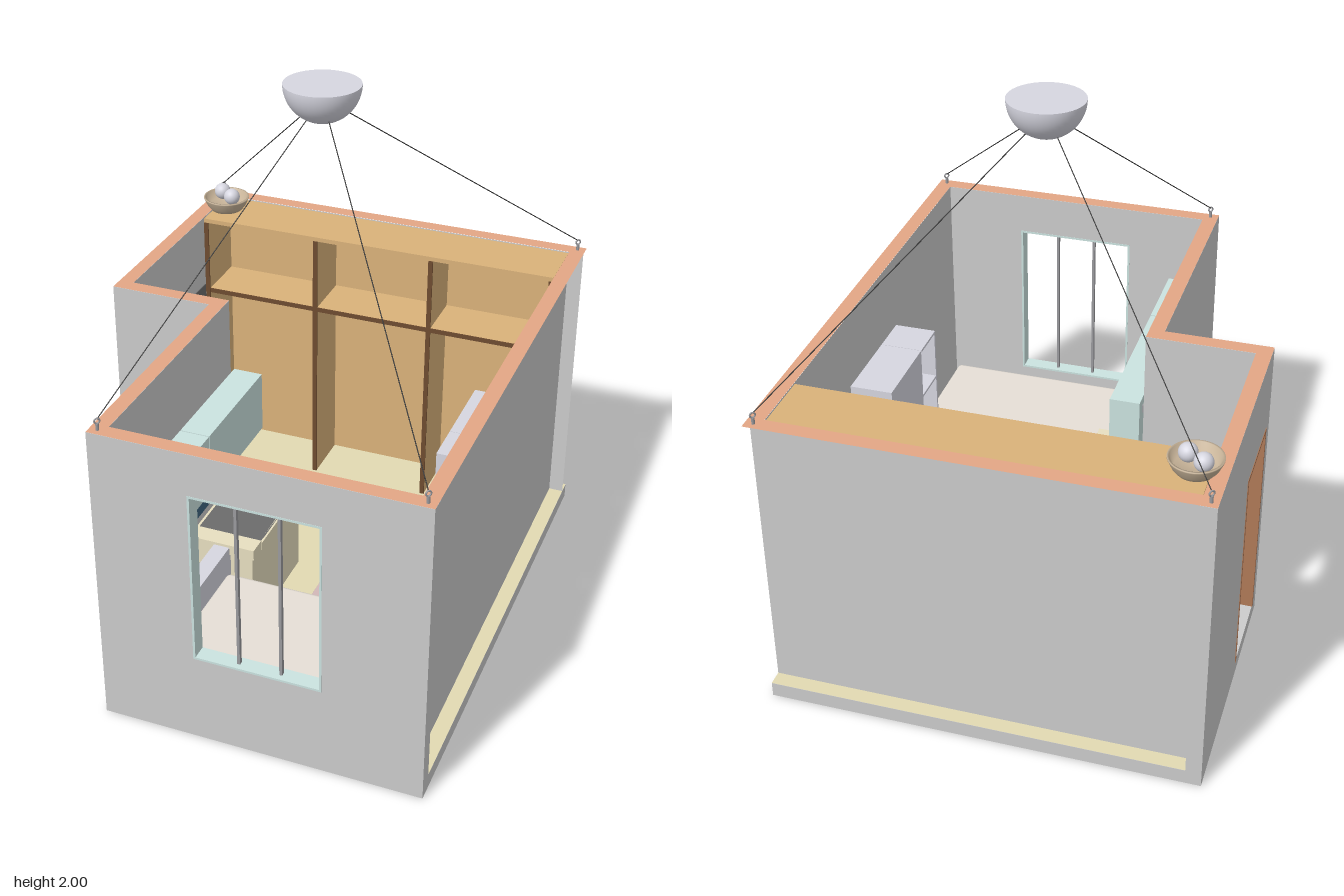
import * as THREE from 'three';
import { RoundedBoxGeometry } from 'three/addons/geometries/RoundedBoxGeometry.js';

const mat = (color, side = THREE.FrontSide) => new THREE.MeshStandardMaterial({ color, side });
const M = {
  wall: mat(0xcccccc), wallThin: mat(0xcccccc, THREE.DoubleSide), cap: mat(0xe3a685, THREE.DoubleSide),
  floor: mat(0xe2dab2), wood: mat(0xdab27a), woodEdge: mat(0x6e4c30), door: mat(0xb07a58),
  mint: mat(0xcbe3e0), lilac: mat(0xd6d6e0), cream: mat(0xe8dfc0), dark: mat(0x6c6c6c),
  blue: mat(0x3f6580), linen: mat(0xe6dfd6), rug: mat(0xd2b8b8), bowl: mat(0xc8b499, THREE.DoubleSide),
  steel: mat(0x9a9a9e), black: mat(0x333333),
};
const H = 1.14, F = 0.055;

export function createModel() {
  const root = new THREE.Group();
  const add = (parent, name, geo, m) => {
    const mesh = new THREE.Mesh(geo, m);
    mesh.name = name;
    parent.add(mesh);
    return mesh;
  };
  const group = (name) => {
    const g = new THREE.Group();
    g.name = name;
    root.add(g);
    return g;
  };
  // box given by its minimum and maximum on each axis
  const box = (parent, name, m, x0, x1, y0, y1, z0, z1) => {
    const b = add(parent, name, new THREE.BoxGeometry(x1 - x0, y1 - y0, z1 - z0), m);
    b.position.set((x0 + x1) / 2, (y0 + y1) / 2, (z0 + z1) / 2);
    return b;
  };
  const softBox = (parent, name, m, x0, x1, y0, y1, z0, z1, r) => {
    const b = add(parent, name, new RoundedBoxGeometry(x1 - x0, y1 - y0, z1 - z0, 3, r), m);
    b.position.set((x0 + x1) / 2, (y0 + y1) / 2, (z0 + z1) / 2);
    return b;
  };
  const rod = (parent, name, m, a, b, r) => {
    const dir = new THREE.Vector3().subVectors(b, a);
    const mesh = add(parent, name, new THREE.CylinderGeometry(r, r, dir.length(), 8), m);
    mesh.position.addVectors(a, b).multiplyScalar(0.5);
    mesh.quaternion.setFromUnitVectors(new THREE.Vector3(0, 1, 0), dir.normalize());
    return mesh;
  };
  const V = (x, y, z) => new THREE.Vector3(x, y, z);
  const rect = (C, x0, x1, y0, y1) =>
    new C([[x0, y0], [x1, y0], [x1, y1], [x0, y1]].map(([x, y]) => new THREE.Vector2(x, y)));

  // L-shaped outlines in plan, drawn as (x, -z)
  const outer = [[-0.77, -0.945], [0.77, -0.945], [0.77, 0.94], [-0.385, 0.94], [-0.385, 0.01], [-0.77, 0.01]];
  const inner = [[-0.715, -0.89], [0.715, -0.89], [0.715, 0.885], [-0.33, 0.885], [-0.33, -0.045], [-0.715, -0.045]];
  const plan = (pts) => pts.map(([x, z]) => new THREE.Vector2(x, -z));

  // floor slab with a pale top
  const base = group('floor');
  const slab = new THREE.ExtrudeGeometry(new THREE.Shape(plan(outer)), { depth: F, bevelEnabled: false });
  slab.rotateX(-Math.PI / 2);
  add(base, 'floorSlab', slab, M.wall);
  const boards = new THREE.ShapeGeometry(new THREE.Shape(plan(outer))).rotateX(-Math.PI / 2);
  add(base, 'floorTop', boards, M.floor).position.y = F + 0.001;

  // thick front and left walls with their openings
  const walls = group('walls');
  const front = rect(THREE.Shape, -0.385, 0.77, F, H);
  front.holes.push(rect(THREE.Path, -0.04, 0.415, 0.335, 0.985));
  add(walls, 'frontWall', new THREE.ExtrudeGeometry(front, { depth: 0.055, bevelEnabled: false }), M.wall)
    .position.z = 0.885;
  const left = rect(THREE.Shape, -0.01, 0.945, F, H);
  left.holes.push(rect(THREE.Path, 0.05, 0.385, F + 0.002, 0.85));
  const leftWall = add(walls, 'leftWall', new THREE.ExtrudeGeometry(left, { depth: 0.055, bevelEnabled: false }), M.wall);
  leftWall.rotation.y = Math.PI / 2;
  leftWall.position.x = -0.77;
  box(walls, 'notchFrontWall', M.wall, -0.715, -0.33, F, H, -0.045, 0.01);
  box(walls, 'notchSideWall', M.wall, -0.385, -0.33, F, H, 0.01, 0.885);

  // thin right and back walls, set in from the slab edge
  const thin = (name, w, x, z, ry) => {
    const p = add(walls, name, new THREE.PlaneGeometry(w, H - F), M.wallThin);
    p.position.set(x, (H + F) / 2, z);
    p.rotation.y = ry;
  };
  thin('backWall', 1.485, 0.0275, -0.89, 0);
  thin('rightWall', 1.775, 0.715, -0.0025, Math.PI / 2);

  // flat capping along the wall tops
  const capShape = new THREE.Shape(plan(outer));
  capShape.holes.push(new THREE.Path(plan(inner)));
  add(walls, 'wallCap', new THREE.ShapeGeometry(capShape).rotateX(-Math.PI / 2), M.cap).position.y = H + 0.001;

  // window lining and upright bars
  const win = group('window');
  for (const [x0, x1, y0, y1] of [[-0.04, -0.032, 0.335, 0.985], [0.407, 0.415, 0.335, 0.985],
    [-0.032, 0.407, 0.335, 0.343], [-0.032, 0.407, 0.977, 0.985]])
    box(win, 'windowLining', M.mint, x0, x1, y0, y1, 0.884, 0.941);
  for (const x of [0.115, 0.265]) box(win, 'windowBar', M.steel, x - 0.005, x + 0.005, 0.343, 0.977, 0.905, 0.92);

  // door lining
  const door = group('doorFrame');
  for (const z of [-0.385, -0.065]) box(door, 'doorJamb', M.door, -0.772, -0.71, F, 0.85, z, z + 0.015);
  box(door, 'doorHead', M.door, -0.772, -0.71, 0.835, 0.85, -0.37, -0.065);

  // fittings beside the door
  box(root, 'wallPanel', M.dark, -0.715, -0.71, 0.35, 0.85, -0.65, -0.41);
  box(root, 'wallPhone', M.steel, -0.71, -0.68, 0.6, 0.72, -0.63, -0.525);
  box(root, 'lightSwitch', M.cream, -0.71, -0.695, 0.6, 0.65, -0.5, -0.455);

  // open wardrobe along the back
  const robe = group('wardrobe');
  const zf = -0.66;
  box(robe, 'wardrobeBack', M.wood, -0.713, 0.713, F, 1.12, -0.887, -0.875);
  box(robe, 'wardrobeTop', M.wood, -0.713, 0.713, 1.12, 1.137, -0.887, zf);
  box(robe, 'wardrobeShelf', M.wood, -0.713, 0.713, 0.812, 0.828, -0.875, zf - 0.004);
  box(robe, 'shelfEdge', M.woodEdge, -0.713, 0.713, 0.811, 0.829, zf - 0.004, zf);
  for (const x of [-0.705, -0.238, 0.235, 0.705]) {
    box(robe, 'wardrobeDivider', M.wood, x - 0.008, x + 0.008, F, 1.12, -0.875, zf - 0.004);
    box(robe, 'dividerEdge', M.woodEdge, x - 0.009, x + 0.009, F, 1.12, zf - 0.004, zf + 0.001);
  }

  // kitchen: counter frame, dark inset, splashback and hung cupboards
  const kitchen = group('kitchen');
  box(kitchen, 'counterBody', M.cream, -0.328, -0.06, F, 0.37, -0.04, 0.4);
  box(kitchen, 'counterInset', M.dark, -0.3, -0.055, 0.37, 0.4, -0.03, 0.34);
  box(kitchen, 'counterEnd', M.cream, -0.328, -0.05, 0.37, 0.41, 0.34, 0.41);
  box(kitchen, 'counterEnd', M.cream, -0.328, -0.05, 0.37, 0.41, -0.044, -0.03);
  box(kitchen, 'counterFrontRail', M.cream, -0.06, -0.048, 0.37, 0.4, -0.03, 0.34);
  box(kitchen, 'splashback', M.blue, -0.329, -0.32, 0.41, 0.64, -0.04, 0.41);
  for (const [z0, z1] of [[-0.043, 0.417], [0.421, 0.573], [0.577, 0.883]])
    box(kitchen, 'hungCupboard', M.mint, -0.315, -0.205, 0.63, 0.86, z0, z1);
  for (const z of [0.0, 0.28, 0.55, 0.82]) box(kitchen, 'cupboardBracket', M.steel, -0.33, -0.315, 0.8, 0.83, z - 0.006, z + 0.006);

  // bed
  const bed = group('bed');
  box(bed, 'bedBase', M.lilac, -0.145, 0.713, F, 0.2, 0.395, 0.883);
  box(bed, 'headboard', M.lilac, -0.205, -0.145, F, 0.4, 0.395, 0.883);
  softBox(bed, 'mattress', M.linen, -0.144, 0.7, 0.18, 0.31, 0.43, 0.872, 0.02);

  // rug
  softBox(root, 'rug', M.rug, 0.07, 0.53, F, F + 0.02, -0.36, 0.355, 0.008);

  // cabinet on the right: closed section and open shelves
  const cab = group('cabinet');
  box(cab, 'closedSection', M.lilac, 0.555, 0.713, F, 0.86, -0.225, 0.078);
  box(cab, 'openSide', M.lilac, 0.555, 0.713, F, 0.86, 0.22, 0.23);
  box(cab, 'openBack', M.lilac, 0.705, 0.713, F, 0.86, 0.078, 0.22);
  for (let i = 0; i < 5; i++) {
    const y = 0.07 + i * 0.195;
    box(cab, 'cabinetShelf', M.lilac, 0.555, 0.705, y, y + 0.01, 0.08, 0.22);
  }

  // leaning ladder rack
  const rack = group('ladderRack');
  const foot = 0.6, head = 0.708, top = 0.65;
  for (const z of [-0.57, -0.387]) rod(rack, 'rackRail', M.black, V(foot, F, z), V(head, top, z), 0.005);
  for (const t of [0.2, 0.58, 0.77, 0.95]) {
    const x = foot + (head - foot) * t, y = F + (top - F) * t;
    rod(rack, 'rackRung', M.black, V(x, y, -0.57), V(x, y, -0.387), 0.004);
  }

  // bowl with two balls on the back corner
  const dish = group('bowl');
  dish.position.set(-0.665, H, -0.775);
  const profile = [[0, 0.003], [0.062, 0.003], [0.076, 0.02], [0.09, 0.05], [0.09, 0.055], [0.083, 0.055], [0.068, 0.02], [0, 0.014]];
  add(dish, 'bowlShell', new THREE.LatheGeometry(profile.map(([r, y]) => new THREE.Vector2(r, y)), 40), M.bowl);
  for (const [x, z] of [[-0.03, -0.03], [0.027, 0.008]])
    add(dish, 'ball', new THREE.SphereGeometry(0.032, 24, 16), M.lilac).position.set(x, 0.06, z);

  // half-dome hanger, with cords to a hook on each corner
  const hanger = group('hanger');
  const c = V(0.015, 2, -0.08), R = 0.134;
  add(hanger, 'dome', new THREE.SphereGeometry(R, 40, 20, 0, Math.PI * 2, Math.PI / 2, Math.PI / 2), M.lilac).position.copy(c);
  const lid = add(hanger, 'domeTop', new THREE.CircleGeometry(R, 40), M.lilac);
  lid.rotation.x = -Math.PI / 2;
  lid.position.copy(c);
  for (const [x, z] of [[-0.745, -0.92], [0.74, -0.92], [-0.355, 0.915], [0.74, 0.915]]) {
    rod(hanger, 'hookStem', M.steel, V(x, H, z), V(x, H + 0.025, z), 0.006);
    const eye = add(hanger, 'hookEye', new THREE.TorusGeometry(0.009, 0.003, 8, 16), M.steel);
    eye.position.set(x, H + 0.034, z);
    eye.rotation.y = Math.PI / 4;
    const end = V(x, H + 0.04, z);
    const start = V(c.x, 1.95, c.z).lerp(end, 0.05);
    rod(hanger, 'cord', M.black, start, end, 0.0018);
  }
  return root;
}
